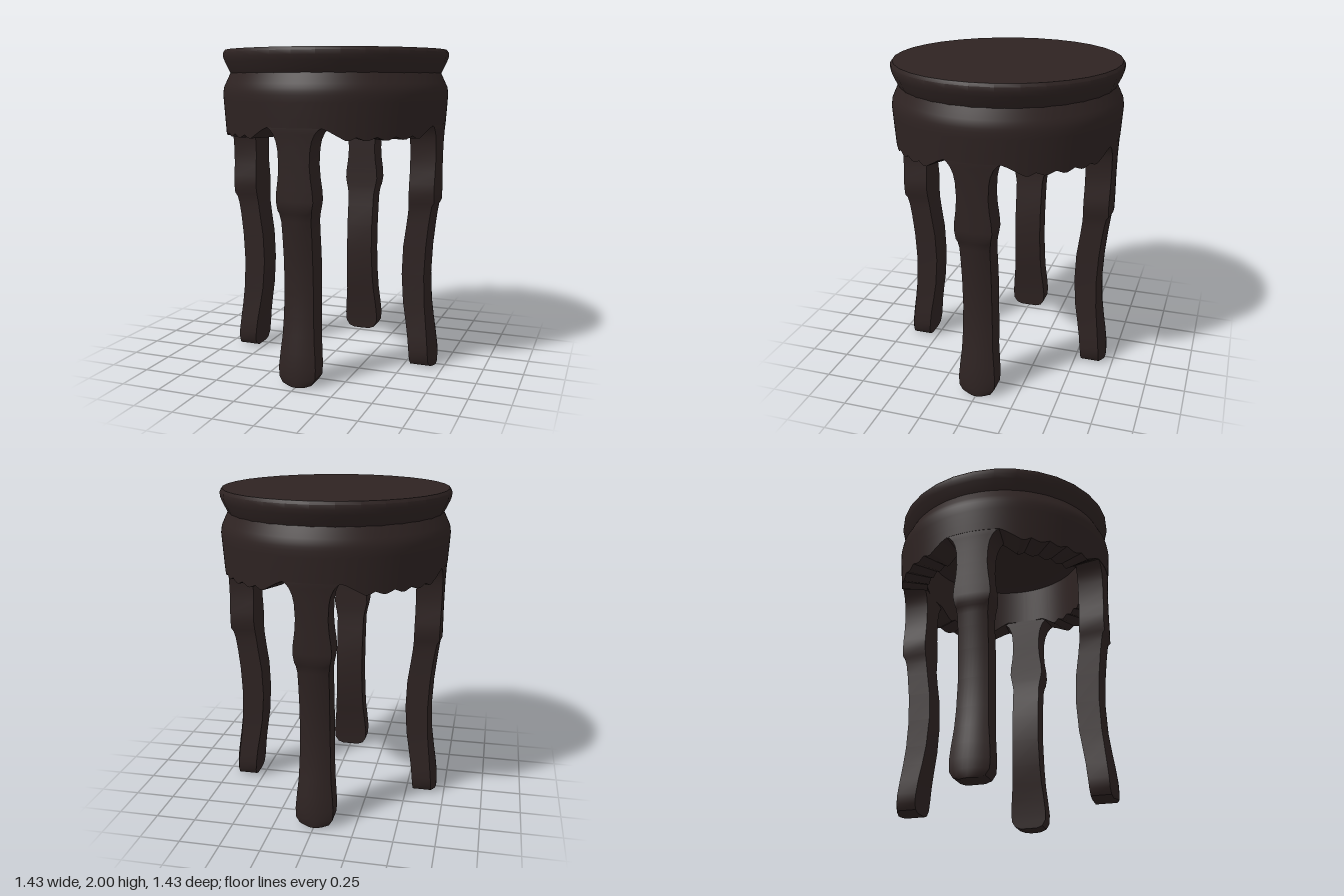
import * as THREE from 'three';
import { toCreasedNormals } from 'three/addons/utils/BufferGeometryUtils.js';

const CREASE = Math.PI / 5;

// Skin a stack of closed rings (counter-clockwise from above, bottom to top)
function loft(rings, capEnds) {
  const n = rings[0].length;
  const pos = rings.flat(2);
  const index = [];
  for (let j = 0; j < rings.length - 1; j++) {
    for (let i = 0; i < n; i++) {
      const k = (i + 1) % n;
      const a = j * n + i, b = j * n + k, c = a + n, d = b + n;
      index.push(a, b, d, a, d, c);
    }
  }
  if (capEnds) {
    const top = (rings.length - 1) * n;
    for (let i = 1; i < n - 1; i++) {
      index.push(0, i + 1, i, top, top + i, top + i + 1);
    }
  }
  const g = new THREE.BufferGeometry();
  g.setAttribute('position', new THREE.Float32BufferAttribute(pos, 3));
  g.setIndex(index);
  return toCreasedNormals(g.toNonIndexed(), CREASE);
}

// Piecewise linear lookup in [key, value] pairs with rising keys
function lookup(table, x) {
  for (let i = 1; i < table.length; i++) {
    if (x <= table[i][0]) {
      const [x0, v0] = table[i - 1], [x1, v1] = table[i];
      return v0 + (v1 - v0) * Math.max(0, (x - x0) / (x1 - x0));
    }
  }
  return table[table.length - 1][1];
}

// Round seat with a moulded rim
function seatGeometry() {
  const profile = [
    [0, 1.8], [0.6, 1.8], [0.66, 1.84], [0.672, 1.858], [0.688, 1.89], [0.705, 1.925],
    [0.716, 1.955], [0.716, 1.982], [0.703, 2], [0, 2],
  ].map(([r, y]) => new THREE.Vector2(r, y));
  return toCreasedNormals(new THREE.LatheGeometry(profile, 32).toNonIndexed(), CREASE);
}

// Thick bulging apron whose lower edge is scalloped between the legs
const APRON_RADIUS = [
  [1.45, 0.698], [1.55, 0.705], [1.65, 0.712], [1.73, 0.717],
  [1.77, 0.711], [1.82, 0.688], [1.858, 0.669],
];
const APRON_EDGE = [ // degrees from the nearest leg, height of the edge
  [0, 1.545], [14, 1.545], [17, 1.53], [25, 1.476], [27, 1.476], [30, 1.494],
  [34, 1.475], [36, 1.475], [40, 1.494], [44, 1.474], [45, 1.474],
];
function apronGeometry() {
  const ring = (radiusAt, heightAt) => Array.from({ length: 360 }, (_, deg) => {
    const fromLeg = Math.abs(((deg + 45) % 90) - 45);
    const y = heightAt(lookup(APRON_EDGE, fromLeg));
    const r = radiusAt(y), a = THREE.MathUtils.degToRad(deg);
    return [r * Math.sin(a), y, r * Math.cos(a)];
  });
  const inner = () => 0.53;
  const outer = (y) => lookup(APRON_RADIUS, y);
  const rings = [ring(inner, () => 1.81), ring(inner, (e) => e), ring(outer, (e) => e)];
  for (const h of [1.6, 1.65, 1.69, 1.73, 1.75, 1.77, 1.795, 1.82, 1.858]) {
    rings.push(ring(outer, () => h));
  }
  return loft(rings, false);
}

// Curved leg: height, half width, outer reach, inner reach, bow of the outer face
const LEG = [
  [0, 0.055, 0.692, 0.546, 0.02],
  [0.014, 0.092, 0.695, 0.545, 0.028],
  [0.05, 0.115, 0.696, 0.543, 0.032],
  [0.11, 0.118, 0.694, 0.538, 0.032],
  [0.2, 0.111, 0.683, 0.528, 0.03],
  [0.3, 0.101, 0.668, 0.512, 0.026],
  [0.42, 0.096, 0.652, 0.493, 0.022],
  [0.6, 0.092, 0.644, 0.481, 0.02],
  [0.78, 0.092, 0.653, 0.488, 0.02],
  [0.92, 0.093, 0.668, 0.508, 0.02],
  [1.0, 0.094, 0.678, 0.518, 0.018],
  [1.045, 0.101, 0.684, 0.522, 0.014],
  [1.065, 0.106, 0.694, 0.523, 0.01],
  [1.12, 0.116, 0.694, 0.525, 0.01],
  [1.18, 0.112, 0.694, 0.526, 0.009],
  [1.25, 0.102, 0.694, 0.527, 0.008],
  [1.33, 0.096, 0.695, 0.527, 0.007],
  [1.42, 0.101, 0.697, 0.527, 0.008],
  [1.47, 0.111, 0.699, 0.527, 0.009],
  [1.51, 0.129, 0.701, 0.527, 0.012],
  [1.535, 0.15, 0.703, 0.527, 0.016],
  [1.548, 0.172, 0.703, 0.527, 0.022],
];
function legGeometry() {
  const steps = 8;
  const rings = LEG.map(([y, w, out, inn, bow]) => {
    const ring = [];
    for (let i = 0; i <= steps; i++) {
      const t = (2 * i) / steps - 1;
      ring.push([t * w, y, out - bow * t * t]);
    }
    ring.push([w, y, inn], [-w, y, inn]);
    return ring;
  });
  return loft(rings, true);
}

export function createModel() {
  const wood = new THREE.MeshStandardMaterial({ color: 0x2e2322 });
  wood.name = 'darkWood';

  const stool = new THREE.Group();
  stool.name = 'stool';
  const add = (name, geometry) => {
    const mesh = new THREE.Mesh(geometry, wood);
    mesh.name = name;
    stool.add(mesh);
    return mesh;
  };

  add('seat', seatGeometry());
  add('apron', apronGeometry());

  // Four legs, one on each side
  const leg = legGeometry();
  ['frontLeg', 'leftLeg', 'backLeg', 'rightLeg'].forEach((name, i) => {
    add(name, leg).rotation.y = (i * Math.PI) / 2;
  });

  return stool;
}
